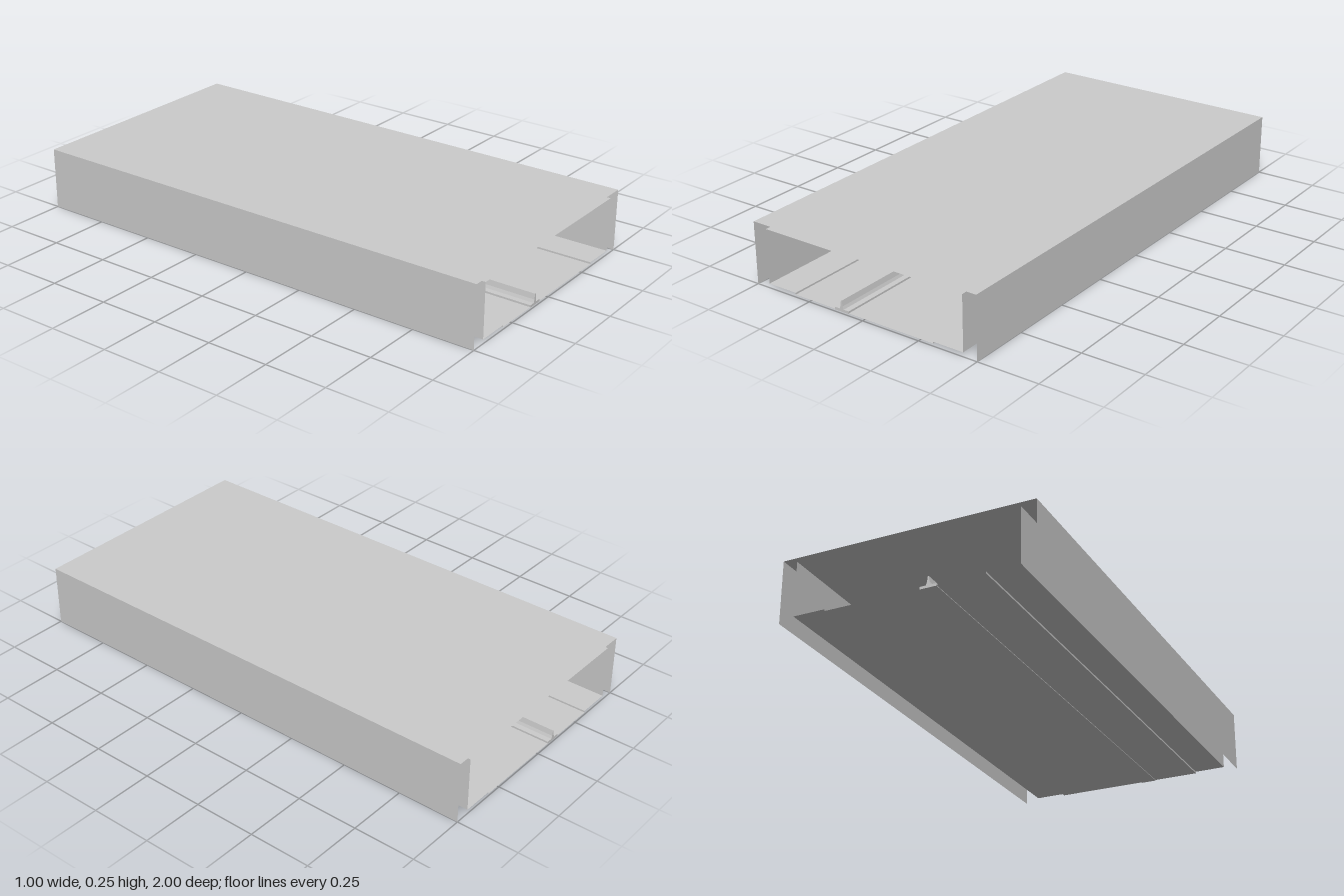
import * as THREE from 'three';

const LENGTH = 2;
const MEDIAN_X = -0.095;

export function createModel() {
  const group = new THREE.Group();
  const solid = new THREE.MeshStandardMaterial({ color: 0xcccccc, flatShading: true });
  const thin = new THREE.MeshStandardMaterial({ color: 0xcccccc, flatShading: true, side: THREE.DoubleSide });

  const add = (name, geometry, material) => {
    const mesh = new THREE.Mesh(geometry, material);
    mesh.name = name;
    group.add(mesh);
    return mesh;
  };

  // Open sheet: a cross-section polyline [x, y] swept along z
  const sheet = (name, points) => {
    const h = LENGTH / 2;
    const pos = [];
    for (let i = 0; i < points.length - 1; i++) {
      const [ax, ay] = points[i];
      const [bx, by] = points[i + 1];
      pos.push(ax, ay, h, bx, by, h, bx, by, -h, ax, ay, h, bx, by, -h, ax, ay, -h);
    }
    const geometry = new THREE.BufferGeometry();
    geometry.setAttribute('position', new THREE.Float32BufferAttribute(pos, 3));
    geometry.computeVertexNormals();
    return add(name, geometry, thin);
  };

  // Outer shell: roof and side walls, open below and at both ends
  sheet('outerShell', [[-0.5, 0], [-0.5, 0.25], [0.5, 0.25], [0.5, 0]]);

  // Inner lining: walls and ceiling
  sheet('innerLining', [[-0.442, 0.017], [-0.442, 0.235], [0.442, 0.235], [0.442, 0.017]]);

  // Floor: lowered roadway between two raised side walks
  sheet('floor', [[-0.442, 0.017], [-0.314, 0.017], [-0.314, 0.010],
    [0.314, 0.010], [0.314, 0.017], [0.442, 0.017]]);

  // Median plate
  const plate = add('medianPlate', new THREE.BoxGeometry(0.064, 0.01, LENGTH), solid);
  plate.position.set(MEDIAN_X, 0.0125, 0);

  // Barrier with a tapering cross-section on the median
  const profile = new THREE.Shape([[-0.009, 0], [0.009, 0], [0.005, 0.012], [0.002, 0.034], [-0.002, 0.034], [-0.005, 0.012]]
    .map(([x, y]) => new THREE.Vector2(x, y)));
  const barrier = add('medianBarrier',
    new THREE.ExtrudeGeometry(profile, { depth: LENGTH, bevelEnabled: false }), solid);
  barrier.position.set(MEDIAN_X, 0.0175, -LENGTH / 2);

  // Columns from the median to the ceiling
  for (const z of [-0.5, 0, 0.5]) {
    const column = add('column', new THREE.CylinderGeometry(0.016, 0.016, 0.2175, 12), solid);
    column.position.set(MEDIAN_X, 0.12625, z);
  }

  return group;
}
